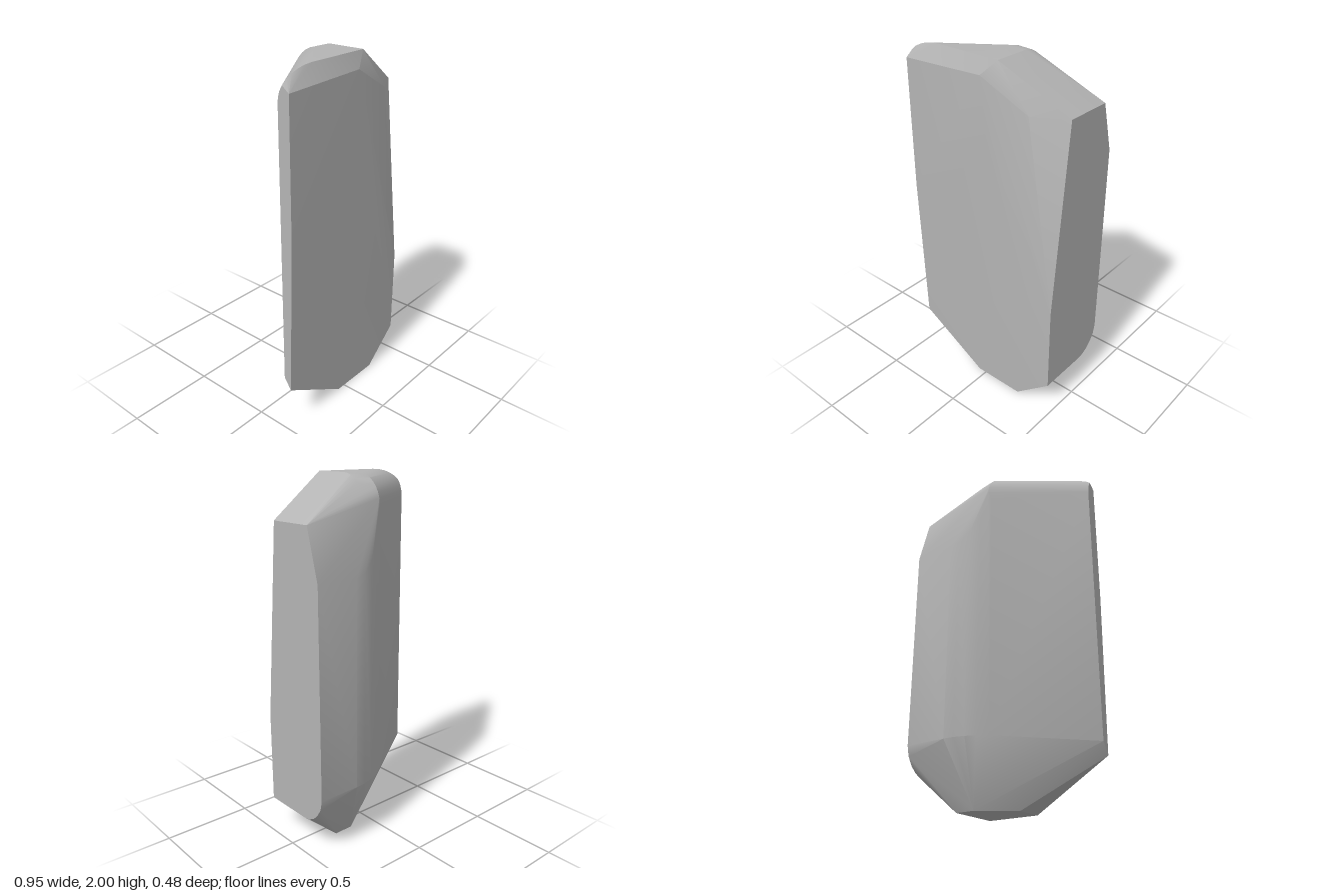
import * as THREE from 'three';
import { toCreasedNormals } from 'three/addons/utils/BufferGeometryUtils.js';
import { ConvexGeometry } from 'three/addons/geometries/ConvexGeometry.js';

export function createModel() {
  const group = new THREE.Group();
  group.name = 'facetedBlock';
  const stone = new THREE.MeshStandardMaterial({ color: 0xb4b4b4 });
  stone.name = 'stoneGrey';

  const points = [];
  const add = (x, y, z) => points.push(new THREE.Vector3(x, y, z));

  // Flat side face: [y, z] around its outline, with a rounded lower back corner
  for (const [y, z] of [
    [1.775, 0.105], [0.7, 0.21], [0.19, 0.21], [0.19, -0.08], [0.198, -0.13],
    [0.22, -0.17], [0.25, -0.2], [0.295, -0.228], [0.35, -0.24], [1.5, -0.24], [1.775, -0.165],
  ]) add(0.475, y, z);

  // Bottom face
  for (const [x, z] of [[0.255, 0.21], [-0.05, 0.21], [-0.05, 0.05], [0.144, -0.085], [0.255, -0.085]]) add(x, 0, z);

  // Narrow side edge, front face and upper front bevel
  add(-0.475, 0.255, 0.214);
  add(-0.475, 0.32, 0.17);
  add(-0.475, 1.16, 0.24);
  add(-0.475, 1.9, 0.24);
  add(0.03, 1.92, 0.24);
  add(0.07, 1.5, 0.236);
  add(0.3, 1.775, 0.205);
  add(0.11, 2, 0.2);

  // Rounded upright edge where the slanted back meets the flat back
  for (const [x, z] of [[0, -0.16], [0.055, -0.193], [0.11, -0.219], [0.17, -0.235], [0.23, -0.24]]) {
    add(x, 0.35, z);
    add(x, 1.5 + (z + 0.24) / 0.273, z);
  }

  // Rounded shoulder rolling from the slanted back onto the top
  const slope = 0.33 / 0.475;
  const steps = 8;
  for (let i = 0; i <= steps; i++) {
    const a = (i / steps) * Math.PI / 2;
    const y = 1.845 + 0.155 * Math.sin(a);
    const inset = 0.17 * (1 - Math.cos(a));
    const startX = -0.475 + Math.max(0, inset - 0.03) / slope;
    add(startX, y, 0.17 + inset - slope * (startX + 0.475));
    add(0.015, y, -0.17 + inset);
    add(0.11, y, -0.145 * Math.cos(a));
  }
  add(-0.475, 1.93, 0.2);

  const body = new THREE.Mesh(toCreasedNormals(new ConvexGeometry(points), 0.4), stone);
  body.name = 'body';
  group.add(body);
  return group;
}
